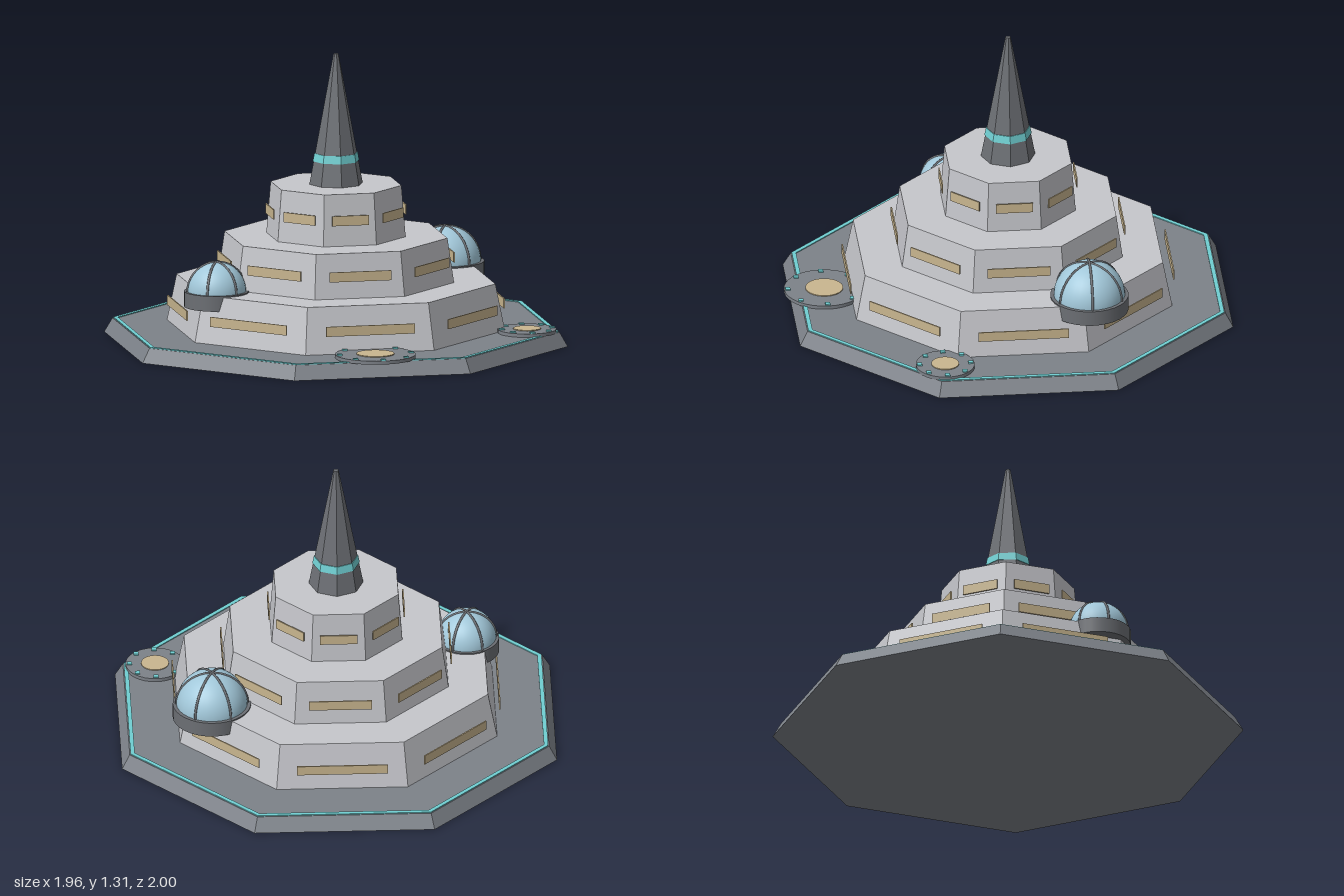
import * as THREE from 'three';

const mat = (name, color) => {
  const m = new THREE.MeshStandardMaterial({ color });
  m.name = name;
  return m;
};
const wall = mat('pale wall', 0xc6c7cc);
const deck = mat('deck grey', 0x7d8289);
const trim = mat('dark trim', 0x6c6f74);
const glass = mat('dome glass', 0xa2c8da);
const cyan = mat('cyan light', 0x70cfd2);
const tan = mat('tan panel', 0xc9b68f);

const ZC = -0.02;               // centre of the stepped tower
const K = Math.cos(Math.PI / 8); // apothem / radius of an octagon

function add(parent, name, geometry, material, x = 0, y = 0, z = 0) {
  const mesh = new THREE.Mesh(geometry, material);
  mesh.name = name;
  mesh.position.set(x, y, z);
  parent.add(mesh);
  return mesh;
}

// Tapered eight-sided block with flat sides on the axes, sized by apothem
function octagon(top, bottom, y0, y1) {
  const g = new THREE.CylinderGeometry(top / K, bottom / K, y1 - y0, 8).toNonIndexed();
  g.rotateY(Math.PI / 8).translate(0, (y0 + y1) / 2, 0);
  g.computeVertexNormals();
  return g;
}

function octagonPoints(apothem) {
  return Array.from({ length: 8 }, (_, i) => {
    const a = (i + 0.5) * Math.PI / 4;
    return new THREE.Vector2(Math.cos(a), Math.sin(a)).multiplyScalar(apothem / K);
  });
}

// Tier with one long window plate on each of its eight sides
function makeTier(name, bottom, top, y0, y1, win) {
  const tier = new THREE.Group();
  tier.name = name;
  add(tier, 'tierWall', octagon(top, bottom, y0, y1), wall);
  for (let i = 0; i < 8; i++) {
    const a = i * Math.PI / 4;
    const w = add(tier, 'window', new THREE.BoxGeometry(win.width, 0.045, 0.006), tan,
      Math.sin(a) * win.out, win.y, Math.cos(a) * win.out);
    w.rotation.y = a;
  }
  return tier;
}

// Glass dome on a round drum, with three arched ribs crossing at the top
function makeDome(name, x, z, r) {
  const dome = new THREE.Group();
  dome.name = name;
  dome.position.set(x, 0.213, z);
  add(dome, 'drum', new THREE.CylinderGeometry(r, r, 0.07, 32), trim, 0, 0.035, 0);
  const gr = r * 0.91;
  add(dome, 'glass', new THREE.SphereGeometry(gr, 32, 16, 0, Math.PI * 2, 0, Math.PI / 2), glass, 0, 0.068, 0);
  for (let i = 0; i < 3; i++) {
    const rib = add(dome, 'rib', new THREE.TorusGeometry(gr, 0.006, 6, 32, Math.PI), trim, 0, 0.068, 0);
    rib.rotation.y = i * Math.PI / 3;
  }
  return dome;
}

// Round landing pad with a tan centre and a ring of eight marker lights
function makePad(name, x, z, r) {
  const pad = new THREE.Group();
  pad.name = name;
  pad.position.set(x, 0.065, z);
  add(pad, 'padDisc', new THREE.CylinderGeometry(r, r, 0.016, 32), deck, 0, 0.008, 0);
  add(pad, 'padCentre', new THREE.CylinderGeometry(r * 0.47, r * 0.47, 0.004, 32), tan, 0, 0.018, 0);
  for (let i = 0; i < 8; i++) {
    const a = i * Math.PI / 4;
    const d = r - 0.017;
    add(pad, 'markerLight', new THREE.BoxGeometry(0.022, 0.008, 0.022), cyan,
      Math.sin(a) * d, 0.018, Math.cos(a) * d);
  }
  return pad;
}

export function createModel() {
  const model = new THREE.Group();
  model.name = 'steppedStation';

  const tower = new THREE.Group();
  tower.name = 'tower';
  tower.position.z = ZC;
  model.add(tower);

  // Base platform and its light strip
  add(tower, 'base', octagon(0.947, 0.982, 0, 0.065), deck);
  const strip = new THREE.Shape(octagonPoints(0.943));
  strip.holes.push(new THREE.Path(octagonPoints(0.924)));
  const stripGeo = new THREE.ExtrudeGeometry(strip, { depth: 0.005, bevelEnabled: false });
  stripGeo.rotateX(-Math.PI / 2);
  add(tower, 'lightStrip', stripGeo, cyan, 0, 0.064, 0);

  // Three stacked tiers
  tower.add(makeTier('lowerTier', 0.716, 0.675, 0.065, 0.277, { y: 0.172, width: 0.41, out: 0.732 }));
  tower.add(makeTier('middleTier', 0.5, 0.472, 0.277, 0.48, { y: 0.38, width: 0.285, out: 0.515 }));
  tower.add(makeTier('upperTier', 0.295, 0.277, 0.48, 0.715, { y: 0.598, width: 0.168, out: 0.305 }));

  // Spire with a light band
  const spire = new THREE.CylinderGeometry(0.012, 0.123, 0.595, 8).toNonIndexed();
  spire.computeVertexNormals();
  add(tower, 'spire', spire, trim, 0, 1.0125, 0);
  const band = new THREE.CylinderGeometry(0.1, 0.107, 0.036, 8).toNonIndexed();
  band.computeVertexNormals();
  add(tower, 'spireBand', band, cyan, 0, 0.838, 0);

  // Side domes and landing pads
  model.add(makeDome('largeDome', 0.573, -0.333, 0.177));
  model.add(makeDome('smallDome', -0.598, 0.19, 0.147));
  model.add(makePad('largePad', 0, 0.813, 0.182));
  model.add(makePad('smallPad', 0.803, 0.343, 0.133));

  return model;
}
